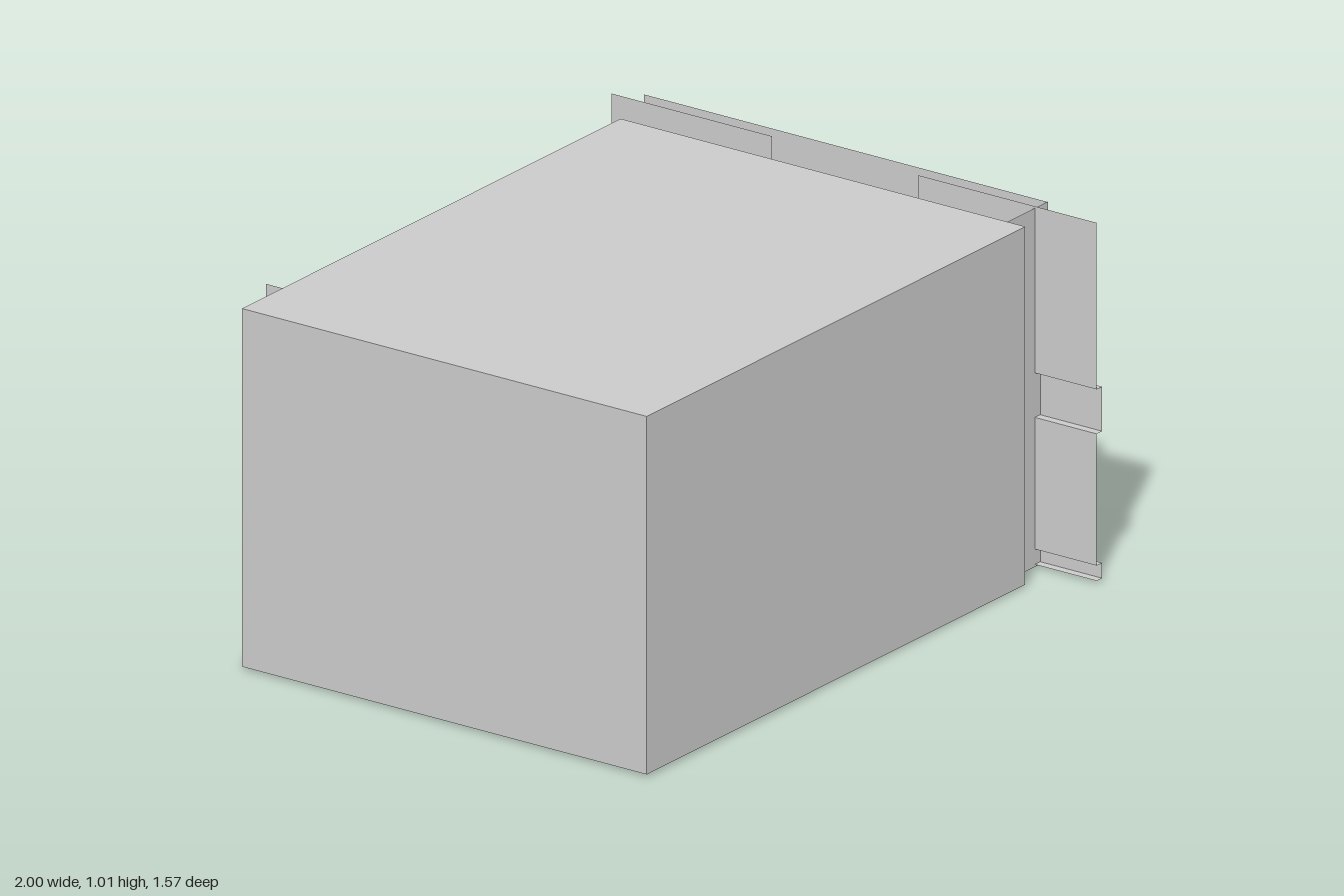
import * as THREE from 'three';

const material = new THREE.MeshStandardMaterial({ color: 0xcccccc, side: THREE.DoubleSide });

// Thin folded sheet: a 3D outline swept along a vector
function sheet(name, outline, sweep) {
  const positions = [];
  const offset = new THREE.Vector3(...sweep);
  const points = outline.map((p) => new THREE.Vector3(...p));
  for (let i = 0; i < points.length - 1; i++) {
    const a = points[i], b = points[i + 1];
    const c = b.clone().add(offset), d = a.clone().add(offset);
    for (const v of [a, b, c, a, c, d]) positions.push(v.x, v.y, v.z);
  }
  const geometry = new THREE.BufferGeometry();
  geometry.setAttribute('position', new THREE.Float32BufferAttribute(positions, 3));
  geometry.computeVertexNormals();
  const mesh = new THREE.Mesh(geometry, material);
  mesh.name = name;
  return mesh;
}

// Upright wall across z with a doorway reaching the floor
function doorWall(name, x, [z0, z1], [y0, y1], [d0, d1], doorTop) {
  const outline = [[z0, y0], [d0, y0], [d0, doorTop], [d1, doorTop], [d1, y0], [z1, y0], [z1, y1], [z0, y1]];
  const shape = new THREE.Shape(outline.map(([z, y]) => new THREE.Vector2(z, y)));
  const mesh = new THREE.Mesh(new THREE.ShapeGeometry(shape), material);
  mesh.name = name;
  mesh.rotation.y = -Math.PI / 2;
  mesh.position.x = x;
  return mesh;
}

// Rectangular tunnel running along x
function tunnel(name, [x0, x1], [y0, y1], [z0, z1]) {
  return sheet(name, [[x0, y0, z0], [x0, y1, z0], [x0, y1, z1], [x0, y0, z1], [x0, y0, z0]], [x1 - x0, 0, 0]);
}

export function createModel() {
  const model = new THREE.Group();
  const doorTop = 0.825;
  const outerDoor = [-0.33, 0.14];
  const innerDoor = [-0.265, 0.2];

  // Main cabin
  const cabin = new THREE.Group();
  cabin.name = 'cabin';
  cabin.add(
    tunnel('cabinShell', [-1, 0.68], [0.007, 1.013], [-0.66, 0.65]),
    sheet('cabinEndWall', [[-1, 0.007, -0.66], [-1, 1.013, -0.66]], [0, 0, 1.31]),
    doorWall('cabinDoorWall', 0.68, [-0.66, 0.65], [0.007, 1.013], innerDoor, doorTop),
    tunnel('cabinDoorway', [0.68, 0.81], [0.007, doorTop], innerDoor),
  );
  model.add(cabin);

  // Surrounding shaft, open at the top and back
  const shaft = new THREE.Group();
  shaft.name = 'shaft';
  shaft.add(
    sheet('shaftFloor', [[-0.81, 0, -0.72], [0.87, 0, -0.72]], [0, 0, 1.305]),
    sheet('shaftFrontWall', [[-0.81, 0, 0.585], [0.87, 0, 0.585]], [0, 1.008, 0]),
    sheet('shaftEndWall', [[-0.81, 0, -0.72], [-0.81, 0, 0.585]], [0, 1.008, 0]),
    doorWall('shaftDoorWall', 0.867, [-0.72, 0.585], [0, 1.008], outerDoor, doorTop),
    tunnel('shaftDoorway', [0.867, 1], [0, doorTop], outerDoor),
  );
  model.add(shaft);

  // Pair of open sliding doors with a folded rib and bottom rail
  const near = 0.812, far = 0.836;
  const profile = [
    [near, 1.013], [near, 0.545], [far, 0.545], [far, 0.42], [near, 0.42],
    [near, 0.05], [far, 0.05], [far, 0.007], [near, 0.007],
  ];
  for (const [name, z0, z1] of [['frontSlidingDoor', 0.207, 0.785], ['backSlidingDoor', -0.785, -0.265]]) {
    model.add(sheet(name, profile.map(([x, y]) => [x, y, z0]), [0, 0, z1 - z0]));
  }
  return model;
}
